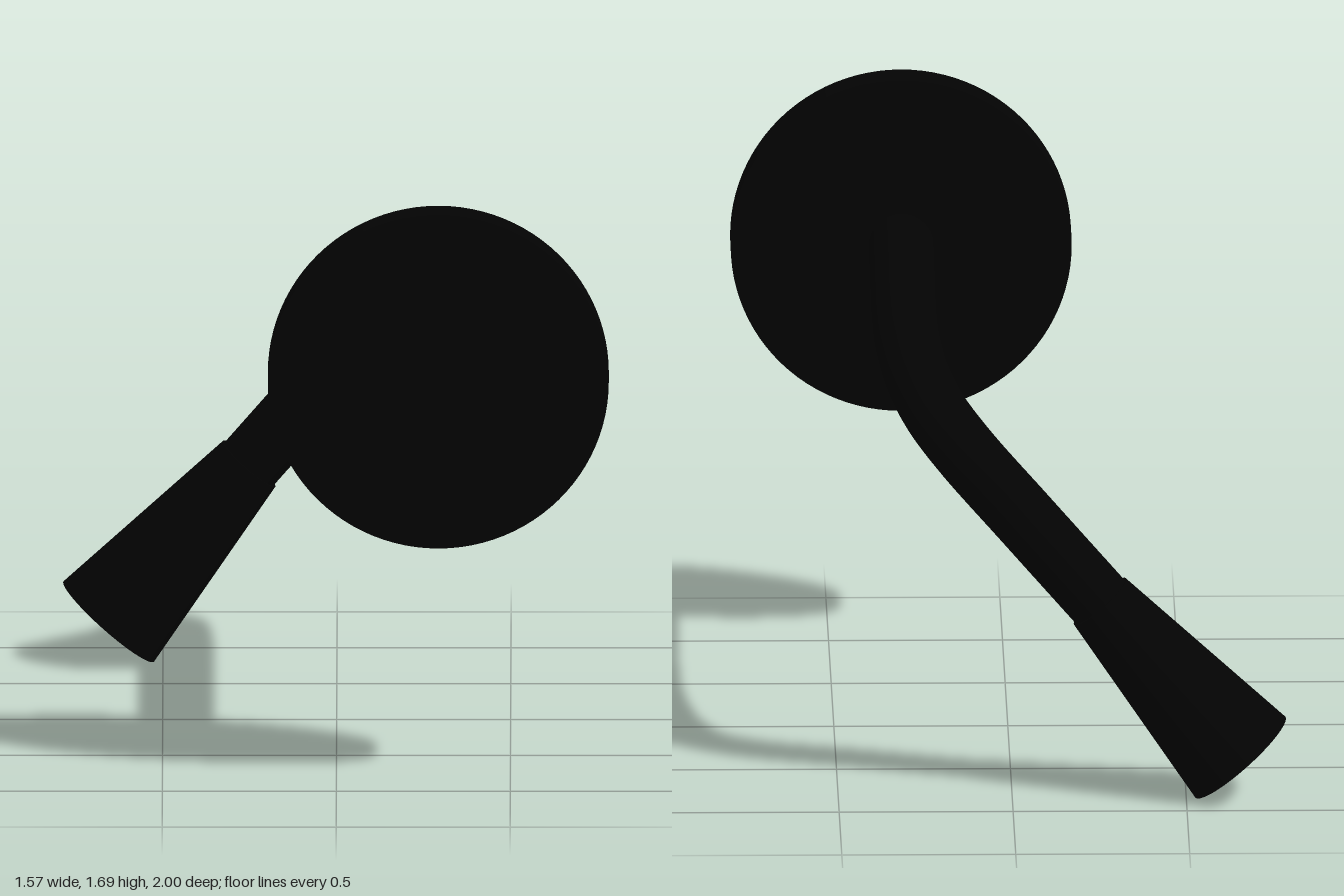
import * as THREE from 'three';

export function createModel() {
  const model = new THREE.Group();
  const black = new THREE.MeshStandardMaterial({ color: 0x030303 });
  black.name = 'black';
  const white = new THREE.MeshStandardMaterial({ color: 0xffffff });
  white.name = 'white';

  const add = (geometry, name, material = black) => {
    const mesh = new THREE.Mesh(geometry, material);
    mesh.name = name;
    model.add(mesh);
    return mesh;
  };

  // Round mounting plate facing +z
  const origin = new THREE.Vector3(0.293, 1.204, 0);
  const plate = add(new THREE.CylinderGeometry(0.49, 0.49, 0.127, 96), 'mountingPlate');
  plate.rotation.x = Math.PI / 2;
  plate.position.set(origin.x, origin.y, 0.9365);

  // The arm bends in the slanted plane spanned by z and this direction
  const slant = new THREE.Vector3(-0.657, -0.754, 0).normalize();
  const at = (t, z) => origin.clone().addScaledVector(slant, t).setZ(z);

  // Bent arm: [distance along the slant, z]
  const path = new THREE.CatmullRomCurve3([
    [0, 0.89], [-0.003, 0.5], [-0.006, 0], [0.006, -0.3], [0.05, -0.59],
    [0.125, -0.755], [0.25, -0.82], [0.5, -0.825], [0.86, -0.825],
  ].map(([t, z]) => at(t, z)));
  add(new THREE.TubeGeometry(path, 96, 0.094, 32), 'bentArm');

  // Flared lamp head, its wide end closed by a white light disc
  const start = 0.83, length = 0.614;
  const head = add(new THREE.CylinderGeometry(0.174, 0.1, length, 64), 'lampHead',
    [black, white, black]);
  head.quaternion.setFromUnitVectors(new THREE.Vector3(0, 1, 0), slant);
  head.position.copy(at(start + length / 2, -0.825));

  return model;
}
